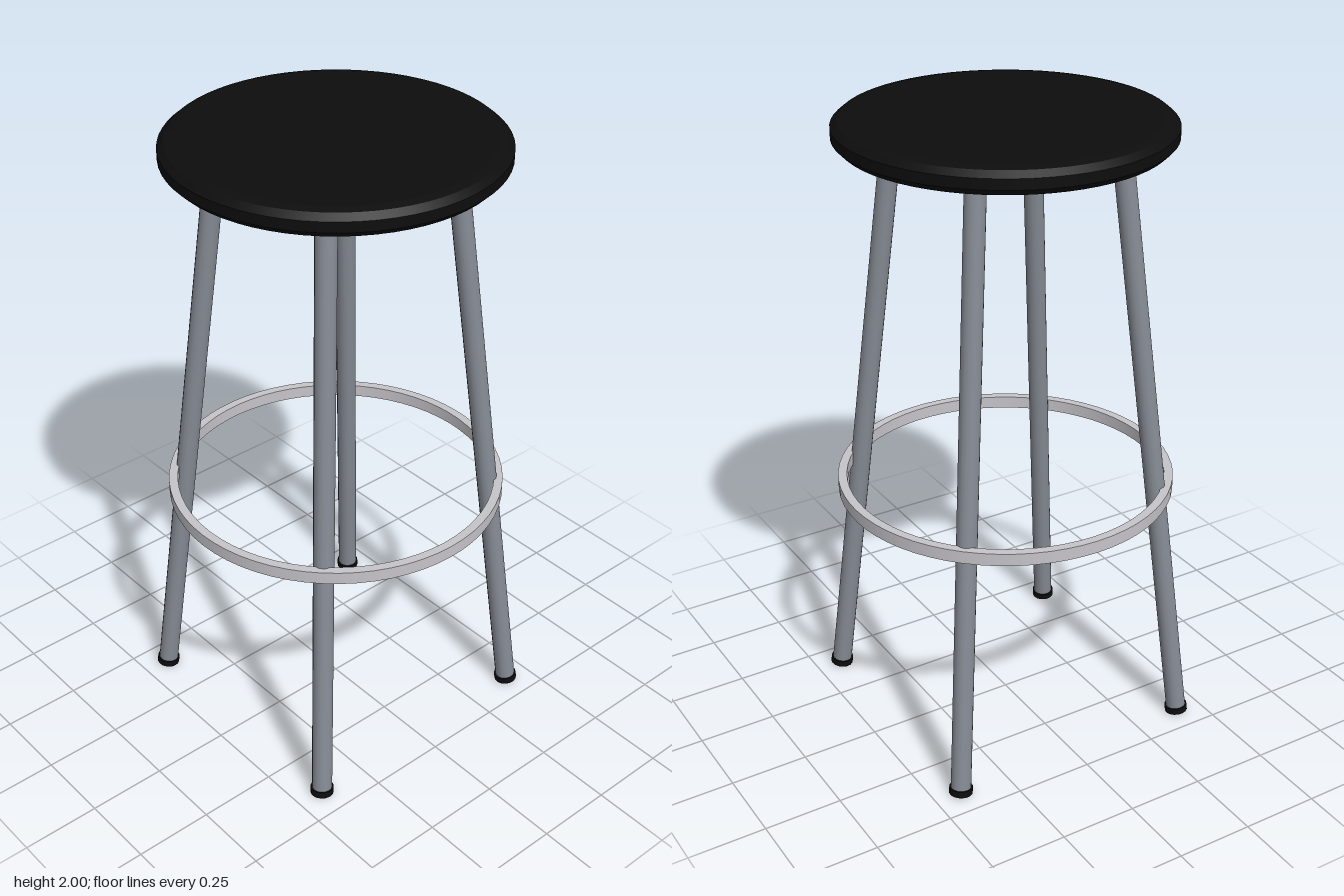
import * as THREE from 'three';

const mat = (name, color) => {
  const m = new THREE.MeshStandardMaterial({ color });
  m.name = name;
  return m;
};

export function createModel() {
  const stool = new THREE.Group();
  stool.name = 'barStool';
  const black = mat('black padding and rubber', 0x0d0d0d);
  const steel = mat('grey steel', 0x868b94);
  const silver = mat('light silver', 0xc6c4c9);

  const add = (name, geometry, material, parent = stool) => {
    const mesh = new THREE.Mesh(geometry, material);
    mesh.name = name;
    parent.add(mesh);
    return mesh;
  };

  // Lathe with hard edges: each pair of neighbouring points is its own band
  const bands = (name, points, material) => {
    const group = new THREE.Group();
    group.name = name;
    for (let i = 0; i < points.length - 1; i++) {
      const pair = [points[i], points[i + 1]].map(([r, y]) => new THREE.Vector2(r, y));
      add(name + 'Band', new THREE.LatheGeometry(pair, 64), material, group);
    }
    stool.add(group);
  };

  // Round cushion with bevelled rim
  bands('seat', [[0, 1.925], [0.485, 1.925], [0.505, 1.945], [0.505, 1.977],
    [0.485, 1.994], [0.46, 2], [0, 2]], black);

  // Mounting plate under the cushion
  add('seatPlate', new THREE.CylinderGeometry(0.4, 0.4, 0.027, 64), steel).position.y = 1.9145;

  // Flat footrest hoop
  bands('footRing', [[0.502, 0.805], [0.53, 0.805], [0.53, 0.845],
    [0.502, 0.845], [0.502, 0.805]], silver);

  // Four splayed legs with rubber feet, sharing one tilted axis each
  const up = new THREE.Vector3(0, 1, 0);
  const rod = (name, a, b, radius, material) => {
    const dir = b.clone().sub(a);
    const mesh = add(name, new THREE.CylinderGeometry(radius, radius, dir.length(), 16), material);
    mesh.position.copy(a).add(b).multiplyScalar(0.5);
    mesh.quaternion.setFromUnitVectors(up, dir.normalize());
  };
  for (const sx of [1, -1]) {
    for (const sz of [1, -1]) {
      const side = (sz > 0 ? 'front' : 'back') + (sx > 0 ? 'Left' : 'Right');
      const bottom = new THREE.Vector3(0.413 * sx, 0.005, 0.413 * sz);
      const top = new THREE.Vector3(0.244 * sx, 1.908, 0.244 * sz);
      const at = (t) => bottom.clone().lerp(top, t);
      rod(side + 'Leg', at(0.005), top, 0.032, steel);
      rod(side + 'Foot', bottom, at(0.011), 0.037, black);
    }
  }
  return stool;
}
